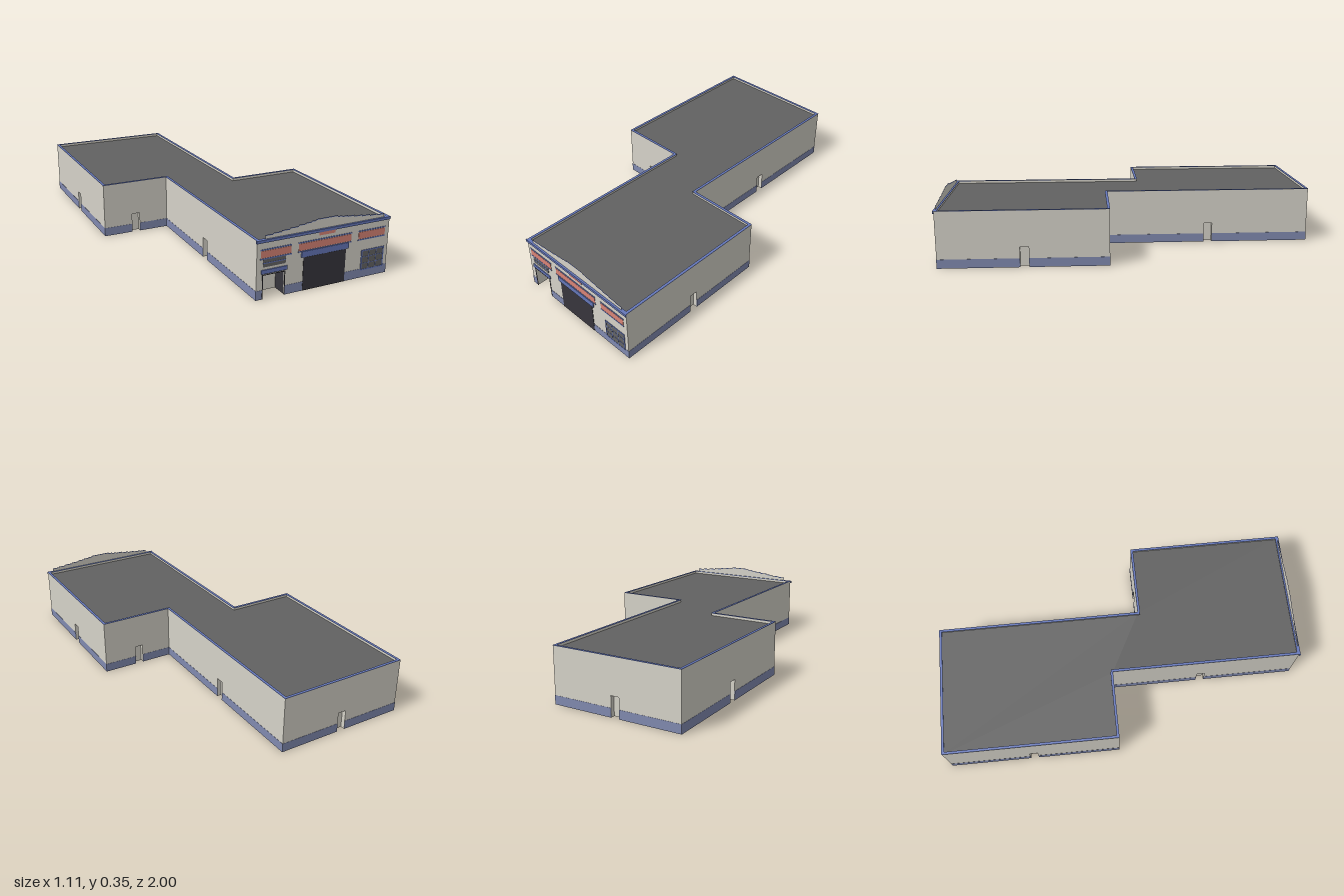
import * as THREE from 'three';

const mat = (name, color, side = THREE.FrontSide) => {
  const m = new THREE.MeshStandardMaterial({ color, side });
  m.name = name;
  return m;
};

export function createModel() {
  const wallMat = mat('wall stone', 0xd6d3c9);
  const sheetMat = mat('gable stone', 0xd6d3c9, THREE.DoubleSide);
  const bandMat = mat('muted blue', 0x818ab0);
  const trimMat = mat('trim blue', 0x6577b9);
  const edgeMat = mat('gable edge blue', 0x6577b9, THREE.DoubleSide);
  const redMat = mat('panel red', 0xd98577);
  const roofMat = mat('roof grey', 0x626262);
  const glassMat = mat('glass grey', 0x646464);
  const darkMat = mat('shutter dark', 0x37353c);

  const root = new THREE.Group();
  root.name = 'warehouse';

  const H = 0.295, T = 0.01, BAND = 0.047, FRONT = 0.994;

  // Box given by its two extreme corners
  const box = (parent, name, m, x0, x1, y0, y1, z0, z1) => {
    const mesh = new THREE.Mesh(new THREE.BoxGeometry(x1 - x0, y1 - y0, z1 - z0), m);
    mesh.position.set((x0 + x1) / 2, (y0 + y1) / 2, (z0 + z1) / 2);
    mesh.name = name;
    parent.add(mesh);
    return mesh;
  };

  // Footprint corners (x, z), each starting a wall with one doorway
  const small = (s) => ({ s, w: 0.045, h: 0.107, d: 0.025 });
  const corners = [
    { x: -0.183, z: FRONT, door: { s: 0.0925, w: 0.119, h: 0.122, d: 0.085 } },
    { x: 0.555, z: FRONT, door: small(0.438) },
    { x: 0.555, z: 0.125, door: small(0.205) },
    { x: 0.156, z: 0.125, door: small(0.563), concave: true },
    { x: 0.156, z: -0.998, door: small(0.355) },
    { x: -0.555, z: -0.998, door: small(0.468) },
    { x: -0.555, z: -0.05, door: small(0.184) },
    { x: -0.183, z: -0.05, door: small(0.51), concave: true },
  ];

  corners.forEach((a, i) => {
    const b = corners[(i + 1) % corners.length];
    const L = Math.hypot(b.x - a.x, b.z - a.z);
    const g = new THREE.Group();
    g.name = i === 0 ? 'frontWall' : 'wall' + i;
    g.position.set(a.x, 0, a.z);
    g.rotation.y = Math.atan2(-(b.z - a.z), b.x - a.x);
    root.add(g);

    // Wall slab with its doorway cut out
    const { s, w, h, d } = a.door;
    const l = s - w / 2, r = s + w / 2, start = a.concave ? -T : 0;
    const shape = new THREE.Shape([
      [start, 0], [l, 0], [l, h], [r, h], [r, 0], [L, 0], [L, H], [start, H],
    ].map(([x, y]) => new THREE.Vector2(x, y)));
    const slab = new THREE.Mesh(
      new THREE.ExtrudeGeometry(shape, { depth: T, bevelEnabled: false }), wallMat);
    slab.position.z = -T;
    slab.name = 'wallSlab';
    g.add(slab);

    // Painted base band and coping
    const p = 0.001;
    box(g, 'baseBand', bandMat, -p, l, 0, BAND, 0, p);
    box(g, 'baseBand', bandMat, r, L + p, 0, BAND, 0, p);
    box(g, 'coping', trimMat, start, L, H, H + 0.002, -T - 0.003, p);

    // Recessed doorway
    const t = 0.002;
    box(g, 'doorPanel', wallMat, l, r, 0, h, -d, -d + t);
    box(g, 'doorBack', i === 0 ? wallMat : darkMat, l, r, 0, h, -d - t, -d);
    box(g, 'doorJamb', wallMat, l - t, l, 0, h, -d, -0.001);
    box(g, 'doorJamb', i === 0 ? darkMat : wallMat, r, r + t, 0, h, -d, -0.001);
    box(g, 'doorHead', wallMat, l, r, h, h + t, -d, -0.001);
  });

  // Flat roof behind the parapet, with a pale ceiling beneath
  const plan = new THREE.Shape(corners.map((c) => new THREE.Vector2(c.x, -c.z)));
  const roof = new THREE.Mesh(new THREE.ShapeGeometry(plan), roofMat);
  roof.rotation.x = -Math.PI / 2;
  roof.position.y = 0.282;
  roof.name = 'roof';
  const ceiling = new THREE.Mesh(new THREE.ShapeGeometry(
    new THREE.Shape(corners.map((c) => new THREE.Vector2(c.x, c.z)))), wallMat);
  ceiling.rotation.x = Math.PI / 2;
  ceiling.position.y = 0.28;
  ceiling.name = 'ceiling';
  root.add(roof, ceiling);

  // Stepped gable, a flat sheet topped by blue edging
  const cx = 0.192, gz = 0.99, edge = 0.005;
  const steps = [[0.06, 0.349], [0.085, 0.344], [0.115, 0.34], [0.155, 0.336],
    [0.2, 0.33], [0.245, 0.325], [0.29, 0.32], [0.33, 0.316]];
  const half = [];
  steps.forEach(([x, y], i) => {
    half.push([x, y - edge]);
    half.push([x, i + 1 < steps.length ? steps[i + 1][1] - edge : H]);
  });
  const outline = [...half.map(([x, y]) => [-x, y]).reverse(), ...half];
  const gable = new THREE.Mesh(new THREE.ShapeGeometry(new THREE.Shape(
    outline.map(([x, y]) => new THREE.Vector2(cx + x, y)))), sheetMat);
  gable.position.z = gz;
  gable.name = 'gable';
  root.add(gable);
  steps.forEach(([x, y], i) => {
    const inner = i ? steps[i - 1][0] : 0;
    for (const k of [-1, 1]) {
      const strip = new THREE.Mesh(new THREE.PlaneGeometry(x - inner, edge), edgeMat);
      strip.position.set(cx + k * (x + inner) / 2, y - edge / 2, gz);
      strip.name = 'gableEdge';
      root.add(strip);
    }
  });

  // Front fascia
  const plate = (name, m, x0, x1, y0, y1, depth = 0.002) =>
    box(root, name, m, x0, x1, y0, y1, FRONT, FRONT + depth);
  plate('fascia', trimMat, -0.188, 0.557, 0.283, 0.297, 0.006);

  // Red panels between blue rails
  for (const [x0, x1] of [[-0.162, -0.002], [0.039, 0.333], [0.376, 0.531]]) {
    plate('redPanel', redMat, x0, x1, 0.207, 0.242);
    plate('upperRail', trimMat, x0 - 0.003, x1 + 0.003, 0.244, 0.25);
    plate('lowerRail', trimMat, x0 - 0.003, x1 + 0.003, 0.199, 0.205);
  }
  plate('smallPanel', redMat, 0.149, 0.239, 0.266, 0.283);

  // Loading shutter under its blue header
  plate('shutterHeader', trimMat, 0.054, 0.319, 0.172, 0.202, 0.005);
  plate('shutter', darkMat, 0.067, 0.306, 0, 0.17);

  // Louvre and awning over the entrance
  plate('louvre', glassMat, -0.15, -0.03, 0.161, 0.199);
  plate('louvreBar', trimMat, -0.15, -0.03, 0.178, 0.183, 0.003);
  plate('awning', trimMat, -0.158, -0.021, 0.128, 0.148, 0.005);

  // Entrance frame
  plate('entranceFrame', darkMat, -0.152, -0.148, 0, 0.122);
  plate('entranceFrame', darkMat, -0.034, -0.03, 0, 0.122);
  plate('entranceFrame', darkMat, -0.152, -0.03, 0.12, 0.123);

  // Shop window with blue glazing bars
  const wx0 = 0.402, wx1 = 0.53, wy0 = 0.041, wy1 = 0.142;
  plate('window', glassMat, wx0, wx1, wy0, wy1);
  for (let i = 0; i <= 3; i++) {
    const b = i % 3 ? 0.0015 : 0.003;
    const x = wx0 + ((wx1 - wx0) * i) / 3, y = wy0 + ((wy1 - wy0) * i) / 3;
    plate('windowBar', trimMat, x - b, x + b, wy0 - 0.003, wy1 + 0.003, 0.003);
    plate('windowBar', trimMat, wx0, wx1, y - b, y + b, 0.003);
  }

  return root;
}
